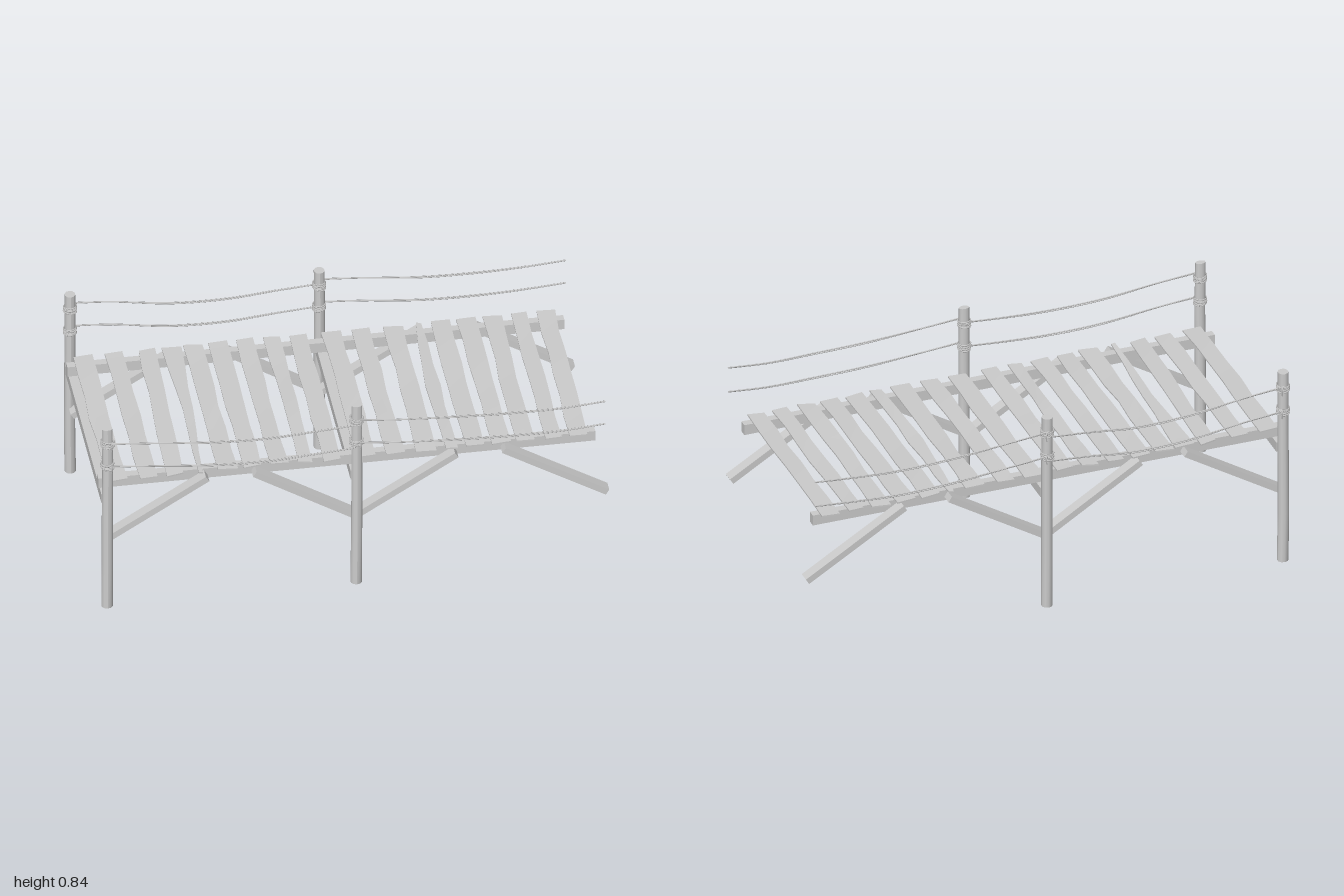
import * as THREE from 'three';

const wood = new THREE.MeshStandardMaterial({ color: 0xcccccc });

function seeded(seed) {
  let s = seed;
  return () => ((s = (s * 16807) % 2147483647) / 2147483647) * 2 - 1;
}

function add(parent, name, geometry, x = 0, y = 0, z = 0) {
  const mesh = new THREE.Mesh(geometry, wood);
  mesh.name = name;
  mesh.position.set(x, y, z);
  parent.add(mesh);
  return mesh;
}

const POSTS_X = [-0.975, 0];
const POST_Z = 0.449;

// Worn plank: [centre, width] at the back, the middle and the front end
function plankGeometry(back, middle, front, rand) {
  const length = 0.83, thick = 0.006, segs = 6;
  const geo = new THREE.BoxGeometry(1, thick, length, 1, 1, segs);
  const edge = [], lift = [];
  for (let i = 0; i <= segs; i++) {
    edge.push([rand() * 0.004, rand() * 0.004]);
    lift.push([rand() * 0.003, rand() * 0.003]);
  }
  const endSkew = [rand() * 0.008, rand() * 0.008];
  const p = geo.attributes.position;
  for (let k = 0; k < p.count; k++) {
    const side = p.getX(k) > 0 ? 1 : 0;
    const t = p.getZ(k) / length + 0.5;
    const i = Math.round(t * segs);
    const [a, b, f] = t < 0.5 ? [back, middle, t * 2] : [middle, front, t * 2 - 1];
    const c = a[0] + (b[0] - a[0]) * f, w = a[1] + (b[1] - a[1]) * f;
    p.setX(k, c + (side - 0.5) * w + edge[i][side]);
    p.setY(k, p.getY(k) + lift[i][side]);
    if (i === 0 || i === segs) p.setZ(k, p.getZ(k) + endSkew[side]);
  }
  geo.computeVertexNormals();
  return geo;
}

// Slightly uneven pole; the front ones thin out towards the top
function postGeometry(front, rand) {
  const height = 0.84, rows = 4, sides = 10;
  const geo = new THREE.CylinderGeometry(0.0225, 0.0225, height, sides, rows);
  const offsets = Array.from({ length: rows + 1 }, () => [rand() * 0.0015, rand() * 0.0015]);
  const p = geo.attributes.position;
  for (let k = 0; k < p.count; k++) {
    const t = p.getY(k) / height + 0.5;
    const o = offsets[Math.round(t * rows)];
    p.setX(k, p.getX(k) * (1 - 0.06 * t) + o[0]);
    p.setZ(k, p.getZ(k) * (front ? 1 - 0.4 * t : 1) + o[1]);
  }
  geo.translate(0, height / 2, 0);
  geo.computeVertexNormals();
  return geo;
}

function tube(points, radius, segs, sides = 5) {
  const curve = new THREE.CatmullRomCurve3(points.map(p => new THREE.Vector3(...p)));
  return new THREE.TubeGeometry(curve, segs, radius, sides);
}

export function createModel() {
  const model = new THREE.Group();
  model.name = 'plankWalkway';
  const rand = seeded(4271);

  // Posts
  for (const x of POSTS_X) for (const s of [1, -1])
    add(model, 'post', postGeometry(s > 0, rand), x, 0, s * POST_Z);

  // Long beams under the planks, and cross beams between post pairs
  for (const s of [1, -1])
    add(model, 'longBeam', new THREE.BoxGeometry(1.945, 0.044, 0.032), -0.0275, 0.539, s * 0.371);
  for (const x of POSTS_X)
    add(model, 'crossBeam', new THREE.BoxGeometry(0.04, 0.041, 0.86), x, 0.495, 0);

  // Diagonal braces: foot x, top x
  for (const [foot, top] of [[-0.975, -0.58], [0.0, -0.395], [0.0, 0.395], [0.985, 0.58]]) {
    const dx = top - foot, dy = 0.245;
    for (const s of [1, -1]) {
      const brace = add(model, 'brace', new THREE.BoxGeometry(Math.hypot(dx, dy), 0.026, 0.046),
        (foot + top) / 2, 0.299 + dy / 2, s * 0.411);
      brace.rotation.z = Math.atan(dy / dx);
    }
  }

  // Planks: centre and width at the back, then at the front
  const planks = [
    [-0.93, 0.075, -0.93, 0.078], [-0.812, 0.066, -0.807, 0.075], [-0.68, 0.066, -0.705, 0.066],
    [-0.583, 0.072, -0.606, 0.012], [-0.497, 0.076, -0.497, 0.074], [-0.4, 0.074, -0.4, 0.07],
    [-0.295, 0.07, -0.295, 0.07], [-0.193, 0.064, -0.193, 0.054], [-0.09, 0.07, -0.09, 0.07],
    [0.043, 0.075, 0.043, 0.078], [0.155, 0.07, 0.16, 0.074], [0.283, 0.074, 0.278, 0.074],
    [0.386, 0.022, 0.38, 0.04], [0.47, 0.075, 0.47, 0.075], [0.567, 0.075, 0.572, 0.074],
    [0.674, 0.07, 0.668, 0.07], [0.775, 0.064, 0.775, 0.064], [0.882, 0.07, 0.877, 0.07],
  ];
  // Middle sections of the two split planks
  const splitMiddle = { 3: [-0.588, 0.04], 12: [0.37, 0.06] };
  planks.forEach(([bx, bw, fx, fw], i) => {
    const middle = splitMiddle[i] || [(bx + fx) / 2 + rand() * 0.004, (bw + fw) / 2 - 0.002];
    add(model, 'plank', plankGeometry([bx, bw], middle, [fx, fw], rand), 0, 0.566, 0);
  });

  // Hand ropes: two sagging strands per span, at two heights on each side
  for (const s of [1, -1]) for (const x of POSTS_X) for (const [y, end] of [[0.783, 0.76], [0.675, 0.653]]) {
    const low = y - (x < 0 ? 0.045 : 0.035) - (s < 0 ? 0.008 : 0);
    const z = s * 0.47;
    for (const d of [-1, 1]) {
      add(model, 'handRope', tube([
        [x, y + d * 0.002, z], [x + 0.16, y - 0.014 + d * 0.001, z + s * 0.002],
        [x + 0.4, low + 0.006 + d * 0.003, z], [x + 0.62, low + d * 0.003, z + s * 0.002],
        [x + 0.8, end - 0.013 + d * 0.002, z], [x + 0.97, end + d * 0.001, z],
      ], 0.0025, 28), 0, 0, 0);
    }
  }

  // Rope lashings around the posts with a hanging tail
  for (const s of [1, -1]) for (const x of POSTS_X) for (const y of [0.772, 0.67]) {
    const lashing = new THREE.Group();
    lashing.name = 'lashing';
    lashing.position.set(x, y, s * POST_Z);
    for (let i = 0; i < 5; i++) {
      const loop = add(lashing, 'ropeLoop', new THREE.TorusGeometry(0.0245, 0.0028, 5, 16),
        rand() * 0.001, (i - 2) * 0.006, rand() * 0.001);
      loop.rotation.set(Math.PI / 2 + rand() * 0.12, rand() * 0.12, 0);
    }
    add(lashing, 'ropeTail', tube([
      [0.01, 0.012, s * 0.024], [0.014, -0.002, s * 0.028], [0.012, -0.026, s * 0.025],
    ], 0.0028, 6));
    model.add(lashing);
  }

  return model;
}
